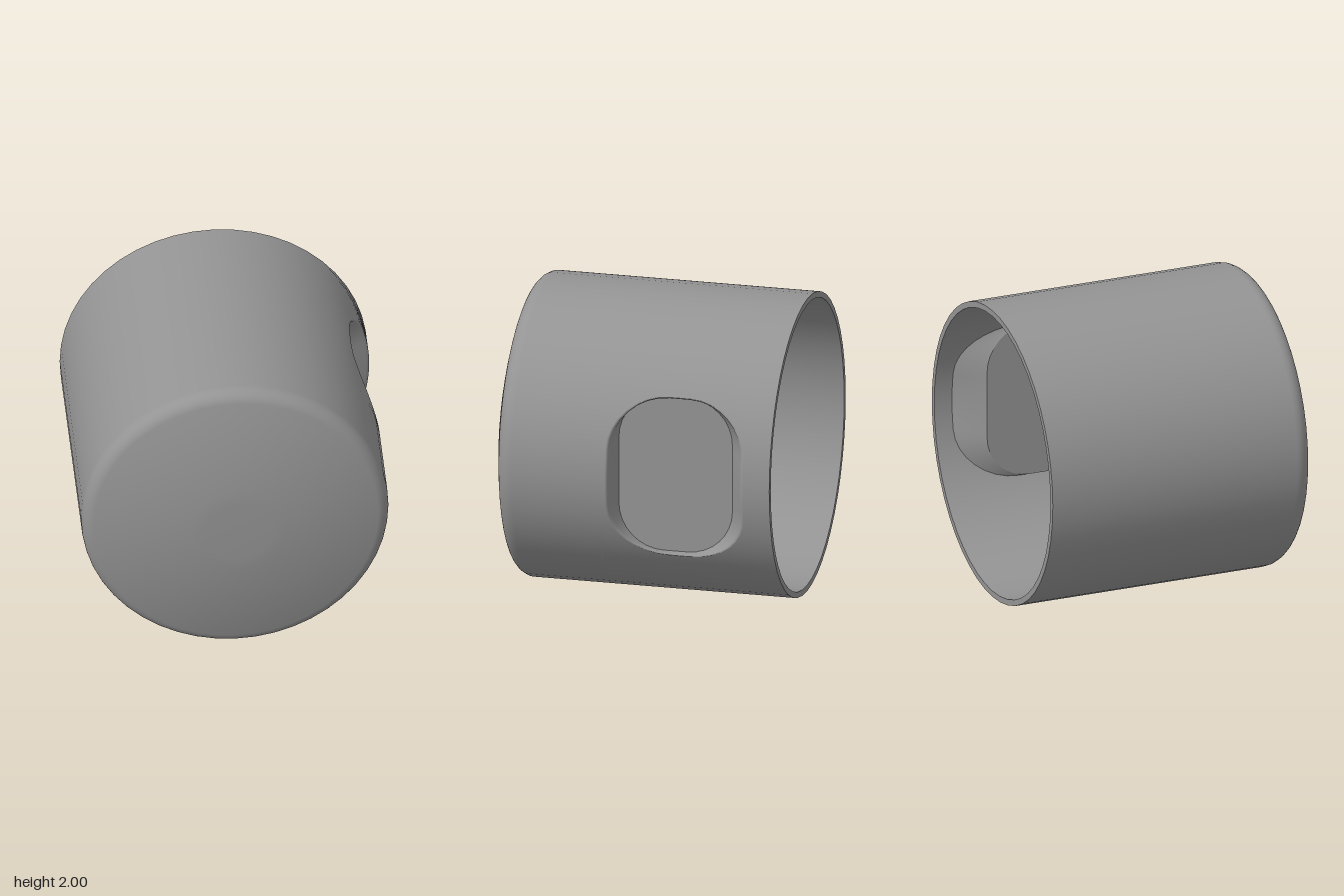
import * as THREE from 'three';

const BACK = -0.98, SPLIT = 0.2, R_OUT = 1, R_IN = 0.96, FLOOR_X = 0.79;
const EDGE = 12, CORNER = 8; // samples per straight edge and per rounded corner
const SIDES = EDGE * 4; // the recess panel spans a quarter turn

// Rounded rectangle as [z, v] pairs, counter-clockwise when seen from +x
function outline(cz, hw, hv, rz, rv) {
  const pts = [];
  for (let q = 0; q < 4; q++) {
    const sx = q === 0 || q === 3 ? 1 : -1, sy = q < 2 ? 1 : -1;
    for (let i = 0; i <= CORNER; i++) {
      const t = (q + i / CORNER) * Math.PI / 2;
      pts.push([cz - (sx * (hw - rz) + rz * Math.cos(t)), sy * (hv - rv) + rv * Math.sin(t)]);
    }
    // straight edge leading to the next corner
    const [z0, v0] = pts[pts.length - 1];
    const z1 = q % 2 ? z0 : 2 * cz - z0, v1 = q % 2 ? -v0 : v0;
    for (let i = 1; i < EDGE; i++) {
      const f = i / EDGE;
      pts.push([z0 + (z1 - z0) * f, v0 + (v1 - v0) * f]);
    }
  }
  return pts;
}

// Skin a series of closed loops of Vector3, skipping collapsed triangles
function loft(loops) {
  const n = loops[0].length, index = [], pts = loops.flat();
  const tri = (...t) => {
    const [a, b, c] = t.map((i) => pts[i]);
    if (new THREE.Triangle(a, b, c).getArea() > 1e-8) index.push(...t);
  };
  for (let k = 0; k < loops.length - 1; k++) {
    for (let i = 0; i < n; i++) {
      const j = (i + 1) % n, a = k * n + i, b = a + n, c = (k + 1) * n + j, d = k * n + j;
      tri(a, b, c);
      tri(a, c, d);
    }
  }
  const geo = new THREE.BufferGeometry().setFromPoints(pts);
  geo.setIndex(index);
  geo.computeVertexNormals();
  return geo;
}

const onCylinder = (pts, r) => pts.map(([z, y]) => new THREE.Vector3(Math.sqrt(r * r - y * y), y, z));
const onPlane = (pts, x) => pts.map(([z, y]) => new THREE.Vector3(x, y, z));

// Curved wall panel between the opening and a rectangular border
function wallPatch(r, hole, inward) {
  const border = outline((SPLIT + BACK) / 2, (SPLIT - BACK) / 2, Math.PI / 4, 0, 0);
  const loops = [];
  for (let k = 0; k <= 6; k++) {
    const f = k / 6;
    loops.push(hole.map(([z, y], i) => {
      const a = THREE.MathUtils.lerp(Math.asin(y / r), border[i][1], f);
      return new THREE.Vector3(r * Math.cos(a), r * Math.sin(a), THREE.MathUtils.lerp(z, border[i][0], f));
    }));
  }
  const geo = loft(inward ? loops.reverse() : loops);
  const p = geo.attributes.position, s = (inward ? -1 : 1) / r;
  for (let i = 0; i < p.count; i++) geo.attributes.normal.setXYZ(i, p.getX(i) * s, p.getY(i) * s, 0);
  return geo;
}

// Revolve [radius, z] pairs around the z axis
function revolve(profile, segments, start = 0, length = Math.PI * 2) {
  const pts = profile.map(([r, z]) => new THREE.Vector2(r, z));
  return new THREE.LatheGeometry(pts, segments, start, length).rotateX(Math.PI / 2);
}

// Domed end: straight wall, rounded shoulder, shallow dome with a small flat centre
function endProfile(r, tip) {
  const pts = [[r, SPLIT], [r, tip - 0.23]];
  const fillet = 0.1;
  for (let i = 0; i <= 8; i++) {
    const t = i / 8 * 1.3;
    pts.push([r - fillet + fillet * Math.cos(t), tip - 0.225 + fillet * Math.sin(t)]);
  }
  const [r0, z0] = pts[pts.length - 1];
  for (let i = 1; i <= 8; i++) {
    const f = 1 - i / 8, rr = 0.22 + (r0 - 0.22) * f;
    pts.push([rr, tip - (tip - z0) * (rr * rr - 0.0484) / (r0 * r0 - 0.0484)]);
  }
  pts.push([0, tip]);
  return pts;
}

export function createModel() {
  const group = new THREE.Group();
  group.name = 'cup';
  const material = new THREE.MeshStandardMaterial({ color: 0x949494, side: THREE.DoubleSide });
  const add = (name, geo) => {
    const mesh = new THREE.Mesh(geo.translate(0, 1, 0), material);
    mesh.name = name;
    group.add(mesh);
  };

  // Domed closed end
  add('outerDome', revolve(endProfile(R_OUT, 0.98), SIDES));
  add('innerDome', revolve(endProfile(R_IN, 0.94).reverse(), SIDES));

  // Plain side wall around the three quarters without the recess
  const start = Math.PI * 0.75, sweep = Math.PI * 1.5;
  add('outerWall', revolve([[R_OUT, BACK], [R_OUT, SPLIT]], SIDES * 0.75, start, sweep));
  add('innerWall', revolve([[R_IN, SPLIT], [R_IN, BACK]], SIDES * 0.75, start, sweep));

  // Open rim
  const rim = new THREE.RingGeometry(R_IN, R_OUT, SIDES).rotateY(Math.PI);
  add('rim', rim.translate(0, 0, BACK));

  // Wall panels pierced by the recess
  const mouth = outline(-0.34, 0.46, 0.54, 0.39, 0.34);
  const innerMouth = outline(-0.355, 0.5, 0.529, 0.4, 0.33);
  add('outerRecessPanel', wallPatch(R_OUT, mouth, false));
  add('innerRecessPanel', wallPatch(R_IN, innerMouth, true));

  // Recess: tapered wall with a rounded lip, flat floor, and the skin seen from inside
  const floor = onPlane(outline(-0.3, 0.38, 0.527, 0.3, 0.3), FLOOR_X);
  add('recessWall', loft([
    floor,
    onCylinder(outline(-0.337, 0.438, 0.529, 0.37, 0.33), 0.976),
    onCylinder(outline(-0.339, 0.446, 0.532, 0.38, 0.335), 0.991),
    onCylinder(outline(-0.34, 0.453, 0.536, 0.385, 0.338), 0.998),
    onCylinder(mouth, R_OUT),
  ]));
  const centre = new THREE.Vector3(FLOOR_X, 0, -0.3);
  add('recessFloor', loft([floor.map(() => centre.clone()), floor]));
  add('recessInnerSkin', loft([onCylinder(innerMouth, R_IN), floor]));

  return group;
}
